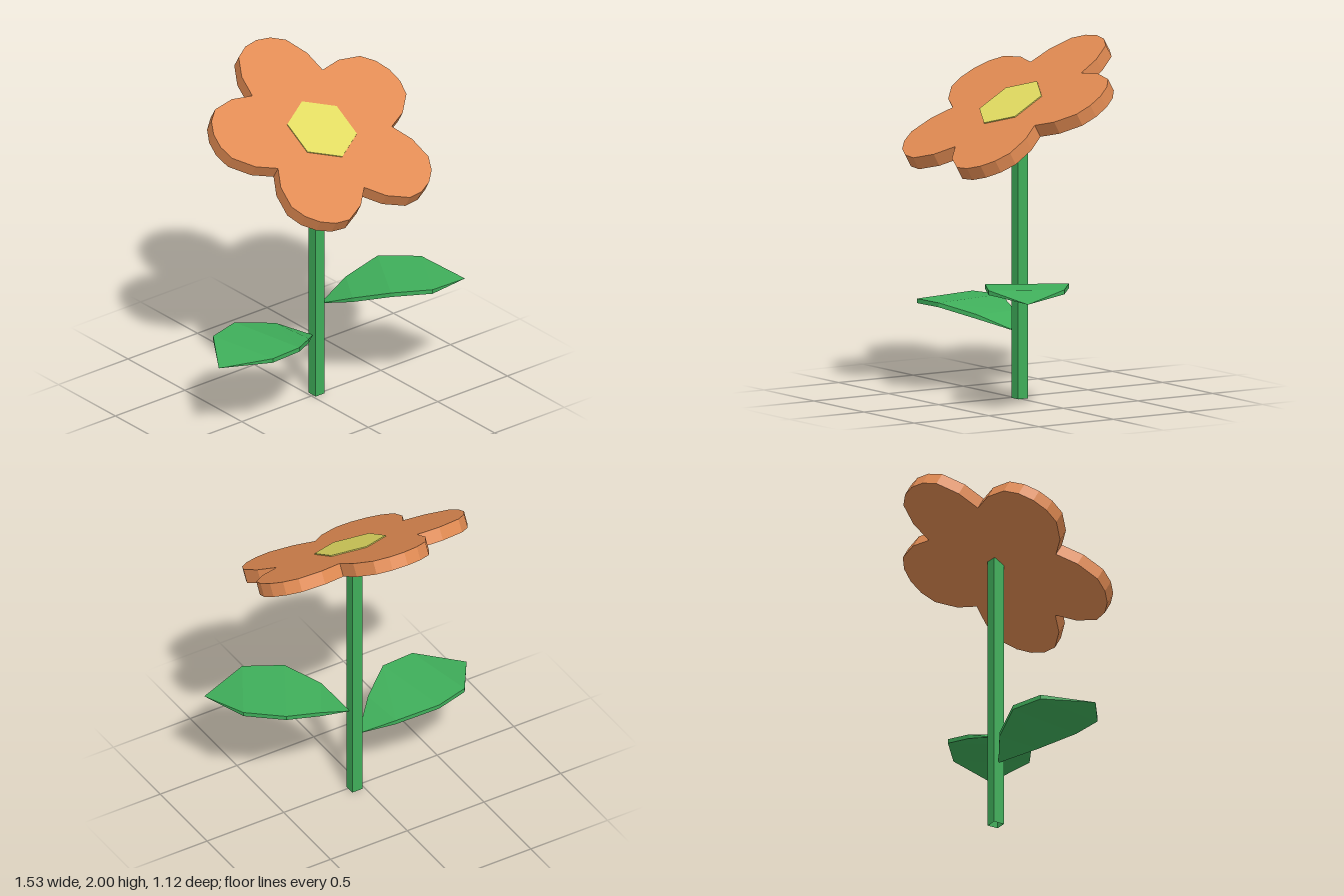
import * as THREE from 'three';

const mat = (name, color, extra = {}) => {
  const m = new THREE.MeshStandardMaterial({ color, flatShading: true, ...extra });
  m.name = name;
  return m;
};

function add(parent, name, geometry, material) {
  const mesh = new THREE.Mesh(geometry, material);
  mesh.name = name;
  parent.add(mesh);
  return mesh;
}

// Outline of five rounded petals, from half of one petal mirrored and turned
function petalShape() {
  const half = [[0.235, 0.48], [0.17, 0.603], [0.09, 0.65]];
  const notch = 0.43;
  const petal = [
    [-notch * Math.sin(Math.PI / 5), notch * Math.cos(Math.PI / 5)],
    ...half.map(([x, y]) => [-x, y]),
    [0, 0.665],
    ...half.slice().reverse(),
  ];
  const points = [];
  for (let i = 0; i < 5; i++) {
    const a = -i * Math.PI * 2 / 5;
    for (const [x, y] of petal) {
      points.push(new THREE.Vector2(x, y).rotateAround(new THREE.Vector2(), a));
    }
  }
  return new THREE.Shape(points);
}

// Thin bent leaf: base point, pairs of edge points, tip point
function leafGeometry(base, pairs, tip, thickness = 0.025) {
  const verts = [];
  const low = (p) => [p[0], p[1] - thickness, p[2]];
  const tri = (a, b, c) => verts.push(...a, ...b, ...c);
  const quad = (a, b, c, d) => { tri(a, b, c); tri(a, c, d); };
  const rows = [[base, base], ...pairs, [tip, tip]];
  for (let i = 0; i < rows.length - 1; i++) {
    const [a, b] = rows[i], [c, d] = rows[i + 1];
    const sink = (p) => (p === base || p === tip ? p : low(p));
    quad(a, c, d, b);                            // upper face
    quad(sink(b), sink(d), sink(c), sink(a));    // underside
    quad(sink(a), sink(c), c, a);                // rims
    quad(b, d, sink(d), sink(b));
  }
  const g = new THREE.BufferGeometry();
  g.setAttribute('position', new THREE.Float32BufferAttribute(verts, 3));
  g.computeVertexNormals();
  return g;
}

export function createModel() {
  const model = new THREE.Group();
  model.name = 'flower';
  const orange = mat('petal orange', 0xe08a52);
  const yellow = mat('centre yellow', 0xe0da60);
  const green = mat('plant green', 0x3fae5a, { side: THREE.DoubleSide });

  // Square hollow stem
  const stemR = 0.0325 * Math.SQRT2, stemH = 1.62;
  const stem = new THREE.CylinderGeometry(stemR, stemR, stemH, 4, 1, true);
  stem.rotateY(Math.PI / 4).translate(0.047, stemH / 2, -0.012);
  add(model, 'stem', stem, green);

  // Tilted flower head with its centre plate
  const head = new THREE.Group();
  head.name = 'flowerHead';
  head.position.set(0.04, 1.665, 0.043);
  head.rotation.x = -Math.PI / 3;
  model.add(head);
  const depth = 0.078;
  const petals = new THREE.ExtrudeGeometry(petalShape(), { depth, bevelEnabled: false });
  add(head, 'petals', petals.translate(0, 0, -depth), orange);
  const centre = new THREE.CylinderGeometry(0.205, 0.205, 0.008, 6).rotateX(Math.PI / 2);
  add(head, 'centre', centre.translate(0, 0, 0.002), yellow);

  // Leaves
  add(model, 'leftLeaf', leafGeometry([0.075, 0.55, -0.012], [
    [[0.14, 0.64, 0.19], [0.28, 0.64, -0.04]],
    [[0.27, 0.70, 0.37], [0.505, 0.70, -0.035]],
    [[0.475, 0.70, 0.485], [0.69, 0.70, 0.12]],
  ], [0.765, 0.65, 0.415]), green);
  add(model, 'rightLeaf', leafGeometry([0.02, 0.37, -0.012], [
    [[-0.16, 0.46, -0.12], [-0.14, 0.46, 0.15]],
    [[-0.40, 0.515, -0.185], [-0.32, 0.515, 0.285]],
    [[-0.60, 0.515, -0.13], [-0.52, 0.515, 0.297]],
  ], [-0.768, 0.467, 0.125]), green);

  return model;
}
